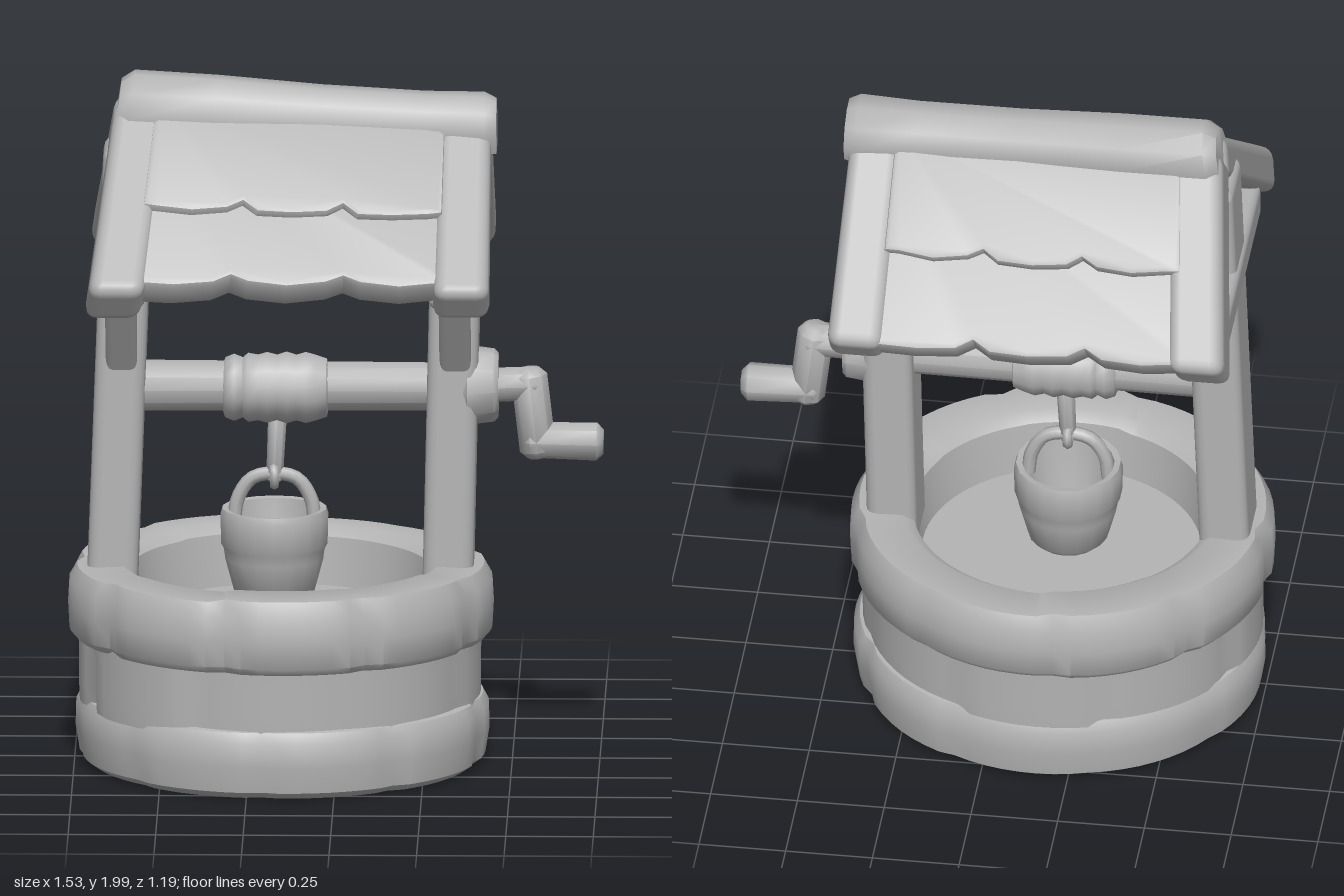
import * as THREE from 'three';
import { toCreasedNormals, mergeVertices } from 'three/addons/utils/BufferGeometryUtils.js';
import { RoundedBoxGeometry } from 'three/addons/geometries/RoundedBoxGeometry.js';

const V = (x, y, z) => new THREE.Vector3(x, y, z);
const hash = (n) => { const s = Math.sin(n * 127.1 + 3.7) * 43758.5453; return s - Math.floor(s); };
const CX = -0.16; // centre of the round wall

// Move every vertex by a rule
function warp(geo, rule) {
  const p = geo.attributes.position, v = V();
  for (let i = 0; i < p.count; i++) {
    v.fromBufferAttribute(p, i);
    rule(v);
    p.setXYZ(i, v.x, v.y, v.z);
  }
  return geo;
}

// Weld, then smooth everything but the sharp edges
function soften(geo, angle = 0.8) {
  geo.deleteAttribute('uv');
  geo.deleteAttribute('normal');
  const g = mergeVertices(geo, 1e-5);
  g.scale(20, 20, 20);
  return toCreasedNormals(g, angle).scale(0.05, 0.05, 0.05);
}

const lathe = (pts, seg) => new THREE.LatheGeometry(pts.map(([r, y]) => new THREE.Vector2(r, y)), seg);

// Round bar with bevelled ends between two points
function rod(a, b, r0, r1 = r0, seg = 10, bevel = 0.02) {
  const d = b.clone().sub(a), L = d.length();
  const g = lathe([[0, 0], [r0 - bevel, 0], [r0, bevel], [r1, L - bevel], [r1 - bevel, L], [0, L]], seg);
  g.applyQuaternion(new THREE.Quaternion().setFromUnitVectors(V(0, 1, 0), d.normalize()));
  return g.translate(a.x, a.y, a.z);
}

// Round-edged timber between two points, w wide in x and t thick
function timber(a, b, w, t, round = 0.03) {
  const d = b.clone().sub(a), L = d.length();
  d.normalize();
  const side = V(1, 0, 0).addScaledVector(d, -d.x).normalize();
  const m = new THREE.Matrix4().makeBasis(side, d, side.clone().cross(d));
  m.setPosition(a.clone().add(b).multiplyScalar(0.5));
  return new RoundedBoxGeometry(w, L, t, 2, round).applyMatrix4(m);
}

// Uneven stones: each keeps its own radius, with a groove between neighbours
function stones(profile, perStone, seed, depth) {
  const seg = 72;
  const g = warp(lathe(profile, seg), (v) => {
    const r = Math.hypot(v.x, v.z);
    if (r < 0.41) return;
    const j = Math.round((Math.atan2(v.x, v.z) / (2 * Math.PI) + 1) * seg + seed) % seg;
    const k = Math.floor(j / perStone), f = (j % perStone) / perStone;
    const bulge = f === 0 ? -0.01 : (hash(k + seed) - 0.6) * 0.016 + 0.005 * Math.sin(f * Math.PI);
    const s = r > 0.51 ? (r + bulge) / r : 1;
    v.x *= s;
    v.z *= s * depth;
    if (v.y > 0.56) v.y += (hash(k + seed + 40) - 0.4) * 0.018;
  });
  return soften(g, 0.7).translate(CX, 0, 0);
}

// Weathered roof: ridge climbs and drifts back towards the right end, eaves splay
function sag(v) {
  const t = 0.4 - v.x, h = (v.y - 1.45) / 0.43;
  v.x -= 0.07 * t * (1 - h);
  v.z -= 0.05 * t * h;
  v.y += 0.04 * t * h;
}

// Shingle sheet hanging down the slope with a ragged lower edge
function shingles(x0, x1, len, lift, thick, sign, seed) {
  const s = new THREE.Shape();
  s.moveTo(x0, 0);
  s.lineTo(x0, -len);
  const n = 3, w = (x1 - x0) / n;
  for (let i = 0; i < n; i++) {
    const x = x0 + i * w, drop = hash(seed + i) * 0.015;
    if (i) s.lineTo(x, -len + 0.022);
    s.lineTo(x + w * 0.15, -len - drop);
    s.lineTo(x + w * 0.5, -len - 0.015);
    s.lineTo(x + w * 0.85, -len - drop * 0.5);
  }
  s.lineTo(x1, -len);
  s.lineTo(x1, 0);
  const b = 0.015;
  const g = new THREE.ExtrudeGeometry(s, { depth: thick - 2 * b, bevelEnabled: true, bevelSize: b, bevelThickness: b, bevelOffset: -b, bevelSegments: 2 });
  g.translate(0, 0, lift - thick / 2 + b);
  g.rotateX(-(Math.PI / 2 - 0.654));
  if (sign < 0) g.rotateY(Math.PI);
  return g.translate(0, 1.84, -0.01);
}

export function createModel() {
  const model = new THREE.Group();
  const clay = new THREE.MeshStandardMaterial({ color: 0xb4b4b4 });
  clay.name = 'plain grey';
  const add = (name, geo, parent) => {
    const m = new THREE.Mesh(geo, clay);
    m.name = name;
    parent.add(m);
  };
  const group = (name) => {
    const g = new THREE.Group();
    g.name = name;
    model.add(g);
    return g;
  };

  // Stone wall in three courses, with a shallow basin inside the rim
  const wall = group('stoneWall');
  add('baseCourse', stones([[0, 0.005], [0.5, 0.005], [0.55, 0.005], [0.578, 0.025], [0.59, 0.1], [0.588, 0.17], [0.572, 0.2], [0.5, 0.215]], 8, 1, 0.965), wall);
  add('middleCourse', stones([[0.5, 0.18], [0.568, 0.18], [0.57, 0.24], [0.57, 0.33], [0.572, 0.39], [0.5, 0.39]], 9, 5, 0.965), wall);
  add('rimCourse', stones([[0.5, 0.375], [0.58, 0.375], [0.598, 0.395], [0.602, 0.47], [0.598, 0.54], [0.575, 0.58], [0.46, 0.585], [0.425, 0.56], [0.4, 0.42], [0, 0.42]], 8, 11, 0.98), wall);

  // Posts, tie beams and braces at each end
  const frame = group('timberFrame');
  for (const [side, x, lean, tieX] of [['right', -0.645, 0.05, -0.615], ['left', 0.315, 0.03, 0.338]]) {
    add(side + 'Post', timber(V(x, 0.45, -0.01), V(x + lean, 1.8, -0.025), 0.145, 0.22, 0.035), frame);
    add(side + 'TieBeam', timber(V(tieX, 1.455, 0.36), V(tieX, 1.465, -0.36), 0.145, 0.125), frame);
    for (const s of [1, -1]) {
      add(side + 'Brace', timber(V(tieX, 1.13, -0.01 + s * 0.04), V(tieX, 1.48, -0.01 + s * 0.265), 0.09, 0.075, 0.02), frame);
    }
  }

  // Roof: rafters, two layers of shingles on each slope, ridge log
  const roof = group('roof');
  for (const s of [1, -1]) {
    for (const [side, x] of [['right', -0.56], ['left', 0.365]]) {
      const g = timber(V(x, 1.84, -0.01), V(x, 1.44, -0.01 + s * 0.522), 0.15, 0.13, 0.035);
      add(side + 'Rafter', warp(g, sag), roof);
    }
    const back = s < 0;
    const [a, b] = back ? [-0.35, 0.56] : [-0.56, 0.35];
    const [c, d] = back ? [-0.31, 0.52] : [-0.52, 0.31];
    add('lowerShingles', soften(warp(shingles(a, b, back ? 0.635 : 0.605, 0.005, 0.085, s, 3 + s), sag), 0.6), roof);
    add('upperShingles', soften(warp(shingles(c, d, back ? 0.37 : 0.365, 0.04, 0.06, s, 9 + s), sag), 0.6), roof);
  }
  const ridge = lathe([[0, -0.625], [0.085, -0.625], [0.108, -0.59], [0.108, -0.35], [0.1, -0.05], [0.1, 0.25], [0.108, 0.42], [0.092, 0.455], [0, 0.455]], 10);
  ridge.rotateZ(-Math.PI / 2).translate(0, 1.845, -0.012);
  warp(ridge, (v) => { // flat underside
    v.y = Math.max(v.y, 1.79);
    sag(v);
  });
  add('ridgeLog', soften(ridge, 0.9), roof);

  // Windlass: axle, coiled rope, hub and crank
  const windlass = group('windlass');
  add('axle', soften(rod(V(-0.6, 1.09, -0.01), V(0.36, 1.09, -0.01), 0.075, 0.07, 12)), windlass);
  const coil = [[0.06, -0.33], [0.088, -0.32], [0.098, -0.295], [0.088, -0.27]];
  for (let i = 0; i < 4; i++) {
    const x = -0.255 + i * 0.055;
    coil.push([0.1 + hash(i) * 0.006, x], [0.096, x + 0.028]);
  }
  coil.push([0.085, -0.03], [0.06, -0.025]);
  add('ropeCoil', soften(lathe(coil, 14).rotateZ(-Math.PI / 2).rotateX(0.2).translate(0, 1.085, -0.01), 1), windlass);
  add('hub', soften(rod(V(0.36, 1.095, -0.01), V(0.46, 1.095, -0.01), 0.115, 0.105, 10, 0.012)), windlass);
  add('crankShaft', soften(rod(V(0.42, 1.095, -0.01), V(0.585, 1.1, -0.01), 0.05, 0.05, 8), 0.9), windlass);
  add('crankArm', soften(rod(V(0.545, 1.145, -0.01), V(0.575, 0.885, -0.01), 0.052, 0.052, 8), 0.9), windlass);
  add('crankHandle', soften(rod(V(0.53, 0.935, -0.01), V(0.76, 0.93, -0.01), 0.052, 0.056, 8), 0.9), windlass);

  // Hanging rope and open bucket
  const bucket = group('bucket');
  add('rope', soften(rod(V(-0.17, 1.03, -0.005), V(-0.18, 0.81, -0.005), 0.027, 0.024, 8, 0.008)), bucket);
  add('ropeLoop', new THREE.TorusGeometry(0.03, 0.014, 6, 12).rotateY(Math.PI / 2).translate(-0.18, 0.83, -0.005), bucket);
  const pail = lathe([[0, 0.47], [0.095, 0.47], [0.115, 0.49], [0.142, 0.59], [0.146, 0.62], [0.154, 0.635], [0.156, 0.715], [0.15, 0.735], [0.132, 0.732], [0.12, 0.64], [0.1, 0.55], [0, 0.55]], 18);
  add('pail', soften(pail.translate(-0.18, 0, -0.005), 0.9), bucket);
  const arc = new THREE.CatmullRomCurve3([[-0.115, 0.69], [-0.105, 0.76], [-0.065, 0.82], [0, 0.835], [0.065, 0.82], [0.105, 0.76], [0.115, 0.69]].map(([x, y]) => V(x - 0.18, y, -0.005)));
  add('bucketHandle', new THREE.TubeGeometry(arc, 20, 0.02, 8), bucket);

  return model;
}
